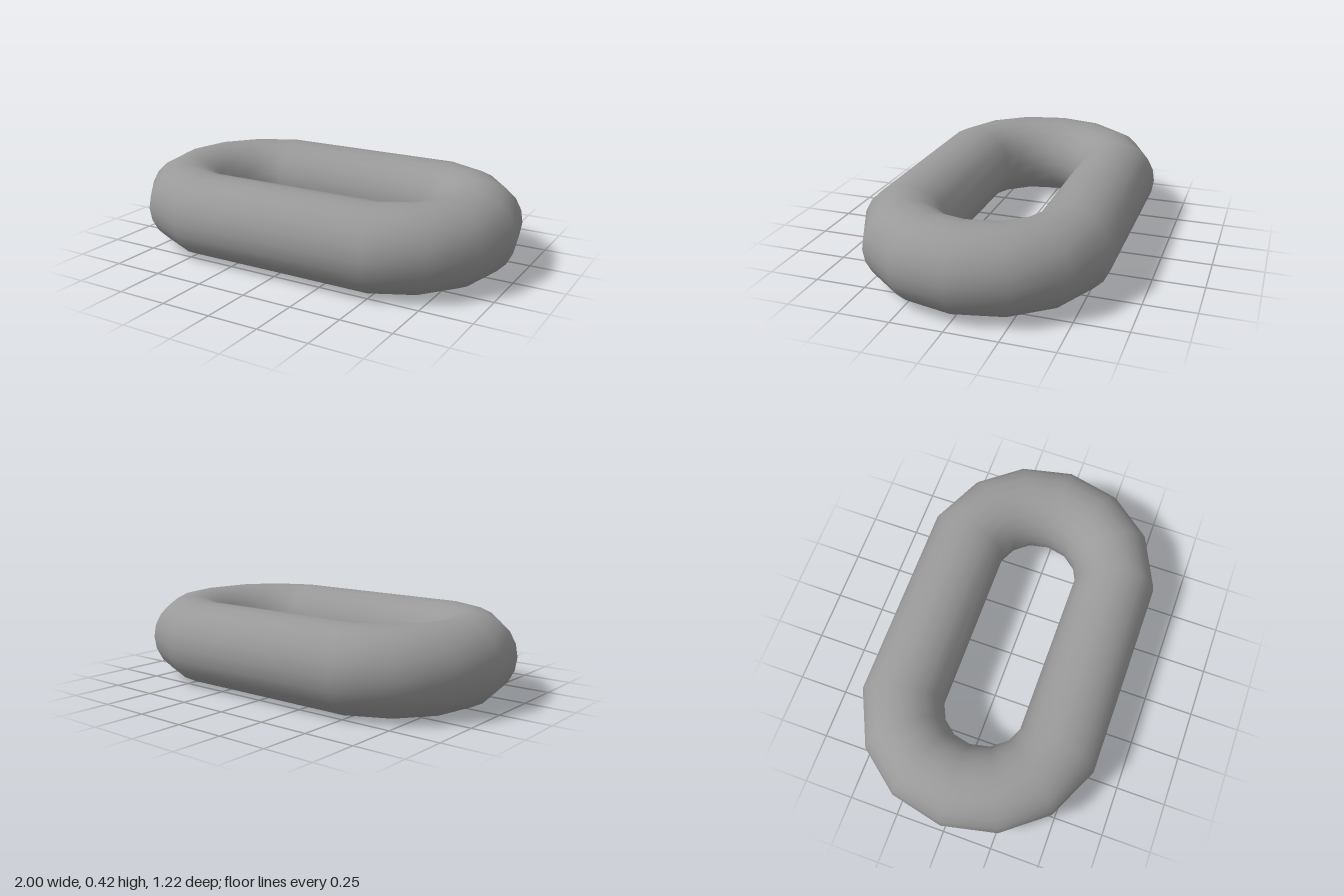
import * as THREE from 'three';

const RADIUS = 0.208; // thickness of the bar
const SIDES = 20;

// Stations of one quarter bend: centre x, centre z, outward angle from +z in degrees
const QUARTER = [
  [0.47, 0.405, 11],
  [0.64, 0.324, 39.5],
  [0.752, 0.183, 65],
  [0.792, 0, 90],
];

// Mirror the quarter front to back for one bend, then turn it half round for the other
function linkStations() {
  const back = QUARTER.slice(0, 3).reverse().map(([x, z, a]) => [x, -z, 180 - a]);
  const bend = [...QUARTER, ...back];
  return [...bend, ...bend.map(([x, z, a]) => [-x, -z, a + 180])];
}

// Sweep a round section through the closed loop of stations, with normals straight out of the section
function sweepClosed(stations) {
  const positions = [];
  const normals = [];
  const indices = [];
  const n = stations.length;
  stations.forEach(([x, z, deg], i) => {
    const a = THREE.MathUtils.degToRad(deg);
    const next = (i + 1) % n;
    for (let j = 0; j < SIDES; j++) {
      const v = (j / SIDES) * Math.PI * 2;
      const nx = Math.cos(v) * Math.sin(a);
      const ny = Math.sin(v);
      const nz = Math.cos(v) * Math.cos(a);
      positions.push(x + RADIUS * nx, RADIUS + RADIUS * ny, z + RADIUS * nz);
      normals.push(nx, ny, nz);
      const k = (j + 1) % SIDES;
      const p = i * SIDES + j, q = next * SIDES + j;
      const r = next * SIDES + k, s = i * SIDES + k;
      indices.push(p, q, r, p, r, s);
    }
  });
  const geometry = new THREE.BufferGeometry();
  geometry.setAttribute('position', new THREE.Float32BufferAttribute(positions, 3));
  geometry.setAttribute('normal', new THREE.Float32BufferAttribute(normals, 3));
  geometry.setIndex(indices);
  return geometry;
}

export function createModel() {
  const group = new THREE.Group();
  group.name = 'chainLink';
  const link = new THREE.Mesh(
    sweepClosed(linkStations()),
    new THREE.MeshStandardMaterial({ color: 0x999999 })
  );
  link.name = 'linkBar';
  group.add(link);
  return group;
}
